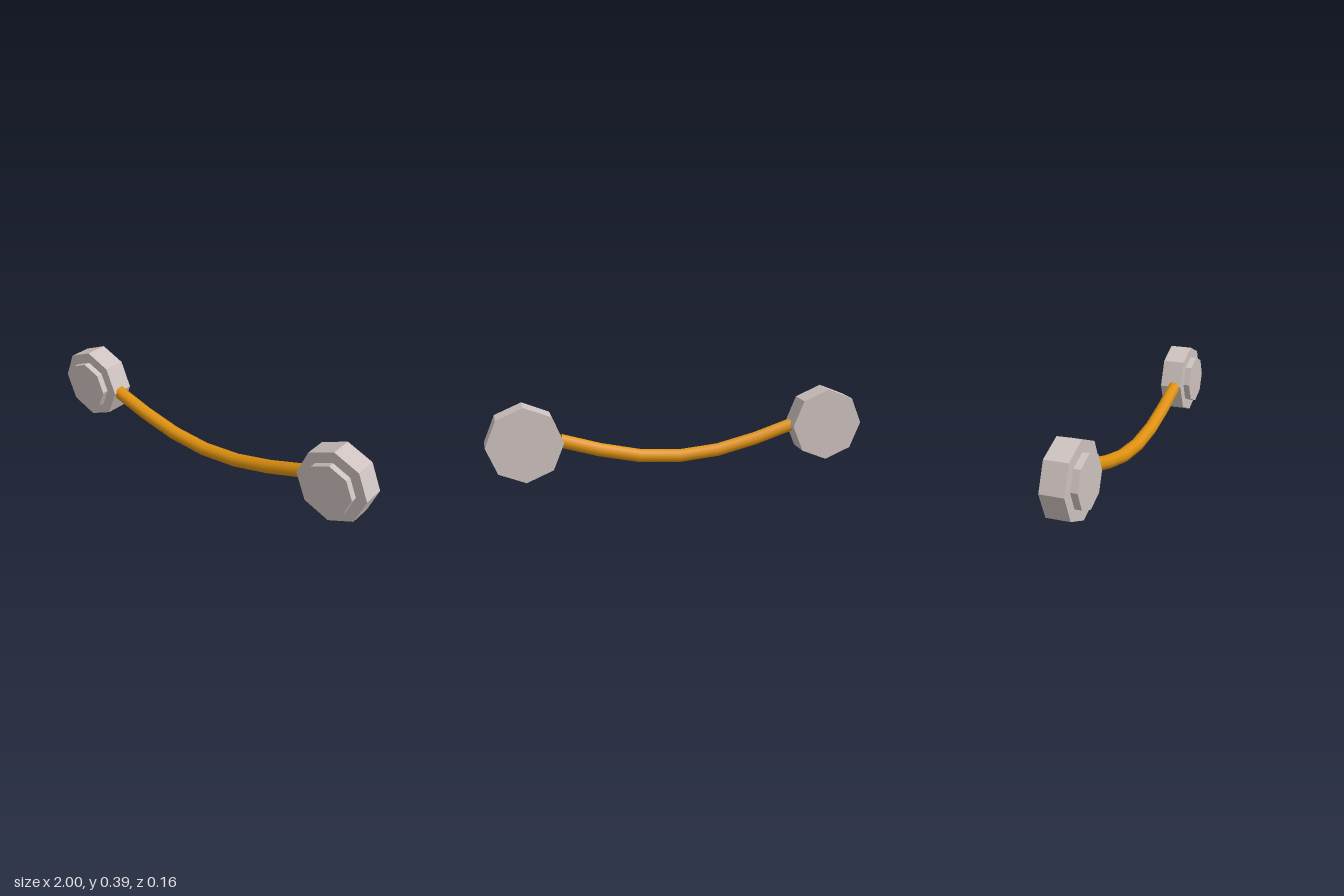
import * as THREE from 'three';

export function createModel() {
  const model = new THREE.Group();
  const stone = new THREE.MeshStandardMaterial({ color: 0xcdc2bf, flatShading: true });
  stone.name = 'paleGrey';
  const amber = new THREE.MeshStandardMaterial({ color: 0xe0920f, side: THREE.DoubleSide });
  amber.name = 'amber';

  // Octagonal disc between two depths, facing +z
  const disc = (name, radius, back, front) => {
    const geometry = new THREE.CylinderGeometry(radius, radius, front - back, 8);
    geometry.rotateX(Math.PI / 2);
    const mesh = new THREE.Mesh(geometry, stone);
    mesh.name = name;
    mesh.position.z = (back + front) / 2;
    return mesh;
  };

  // A stepped boss at each end
  for (const [side, label] of [[1, 'left'], [-1, 'right']]) {
    const boss = new THREE.Group();
    boss.name = label + 'Boss';
    boss.position.set(side * 0.806, 0.194, 0);
    boss.add(disc(label + 'BossBase', 0.194, -0.078, 0.043));
    boss.add(disc(label + 'BossFace', 0.135, 0.043, 0.078));
    model.add(boss);
  }

  // Sagging handle in six segments
  const half = [[0.21, 0.075], [0.42, 0.123], [0.625, 0.187]];
  const points = [
    ...half.map(([x, y]) => new THREE.Vector3(-x, y, -0.001)).reverse(),
    new THREE.Vector3(0, 0.058, -0.001),
    ...half.map(([x, y]) => new THREE.Vector3(x, y, -0.001)),
  ];
  const curve = new THREE.CatmullRomCurve3(points);
  const handle = new THREE.Mesh(new THREE.TubeGeometry(curve, 6, 0.036, 8), amber);
  handle.name = 'handle';
  model.add(handle);

  // Handle end caps
  for (const t of [0, 1]) {
    const cap = new THREE.Mesh(new THREE.CircleGeometry(0.036, 8), amber);
    cap.name = t ? 'leftHandleCap' : 'rightHandleCap';
    cap.position.copy(curve.getPointAt(t));
    const outward = curve.getTangentAt(t).multiplyScalar(t ? 1 : -1);
    cap.quaternion.setFromUnitVectors(new THREE.Vector3(0, 0, 1), outward);
    model.add(cap);
  }

  return model;
}
